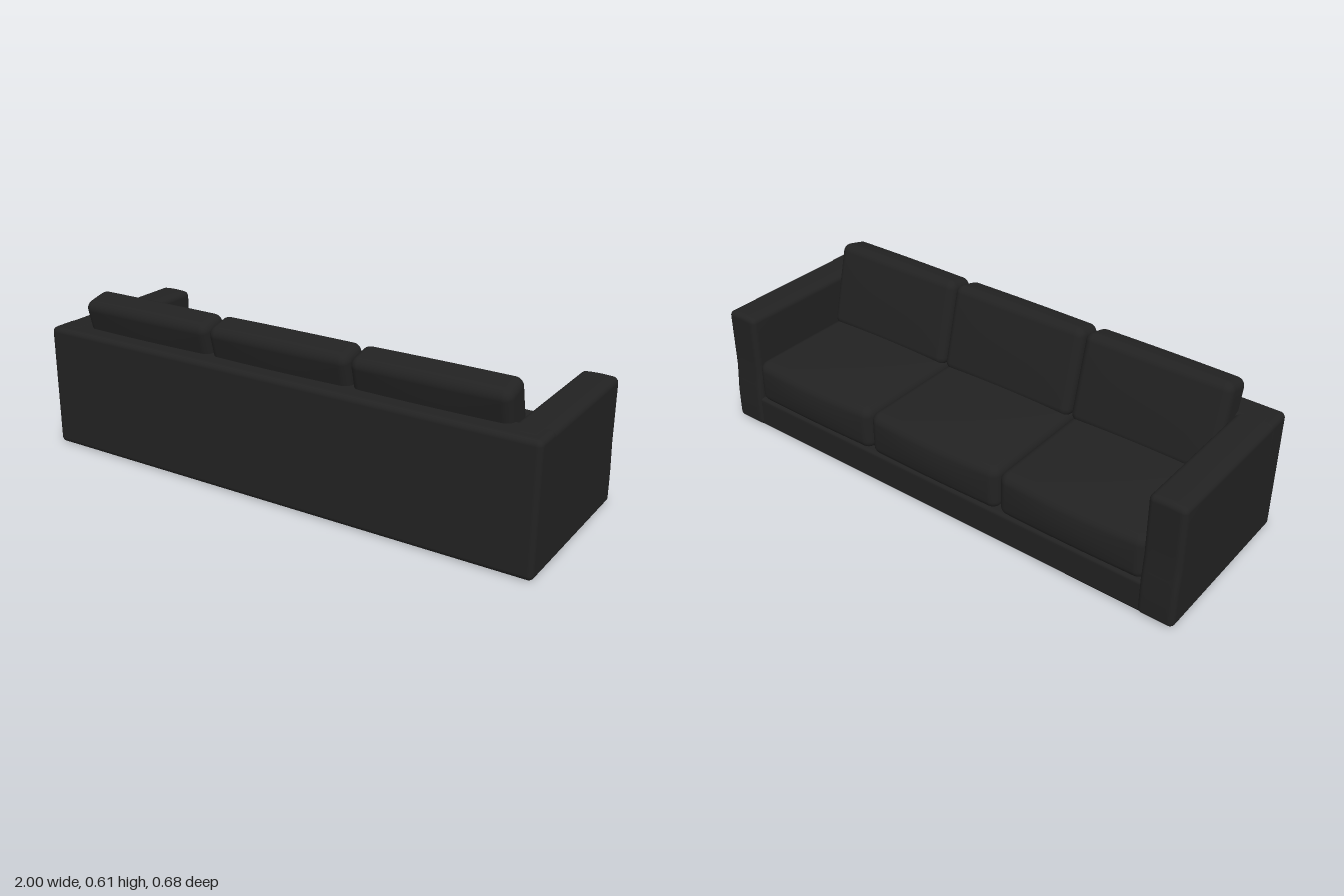
import * as THREE from 'three';
import { mergeVertices } from 'three/addons/utils/BufferGeometryUtils.js';

// Rounded, finely divided box; shape(p, u) may move each vertex (u runs -1..1)
function softBox(w, h, d, r, shape) {
  let geo = new THREE.BoxGeometry(2, 2, 2, 16, 16, 16);
  geo.deleteAttribute('uv');
  geo.deleteAttribute('normal');
  geo = mergeVertices(geo, 1e-4);
  const pos = geo.attributes.position;
  const half = new THREE.Vector3(w / 2, h / 2, d / 2);
  const inner = half.clone().subScalar(r);
  const u = new THREE.Vector3(), p = new THREE.Vector3(), core = new THREE.Vector3();
  for (let i = 0; i < pos.count; i++) {
    u.fromBufferAttribute(pos, i);
    // half of the divisions go to the rounded edges
    for (const a of ['x', 'y', 'z']) {
      const t = Math.abs(u[a]) * 2;
      p[a] = Math.sign(u[a]) * (t > 1 ? inner[a] + r * Math.tan((t - 1) * Math.PI / 4) : inner[a] * t);
    }
    core.copy(p).clamp(inner.clone().negate(), inner);
    p.sub(core).setLength(r).add(core);
    if (shape) shape(p, u.copy(p).divide(half));
    pos.setXYZ(i, p.x, p.y, p.z);
  }
  geo.computeVertexNormals();
  return geo;
}

const crown = (a, b) => Math.max(0, 1 - a * a) * Math.max(0, 1 - b * b);

export function createModel() {
  const sofa = new THREE.Group();
  sofa.name = 'sofa';
  const upholstery = new THREE.MeshStandardMaterial({ color: 0x222222 });
  upholstery.name = 'black upholstery';

  const add = (name, geo, x, y, z) => {
    const mesh = new THREE.Mesh(geo, upholstery);
    mesh.name = name;
    mesh.position.set(x, y, z);
    sofa.add(mesh);
    return mesh;
  };

  // Frame: base and back panel
  add('base', softBox(1.78, 0.125, 0.63, 0.012), 0, 0.0625, -0.015);
  add('backPanel', softBox(2, 0.475, 0.12, 0.02), 0, 0.2375, 0.28);

  // Arms, a little deeper at the foot and softly domed on top
  const arm = softBox(0.135, 0.472, 0.64, 0.02, (p, u) => {
    if (u.z < -0.5 && u.y < 0) p.z -= 0.01 * Math.min(1, -u.y * 2);
    if (u.y > 0.9) p.y += 0.004 * (1 - u.x * u.x);
  });
  for (const side of [-1, 1]) {
    add(side > 0 ? 'leftArm' : 'rightArm', arm, side * 0.9325, 0.236, -0.008);
  }

  // Seat cushions, bulging on top and along the front edge
  const seat = softBox(0.576, 0.175, 0.55, 0.035, (p, u) => {
    if (u.y > 0) p.y += 0.014 * crown(u.x, u.z) * u.y;
    if (u.z < 0) p.z += 0.016 * crown(u.x, u.y) * u.z;
  });
  // Leaning back cushions
  const back = softBox(0.574, 0.34, 0.125, 0.032, (p, u) => {
    p.z += 0.006 * crown(u.x, u.y) * u.z;
    if (u.y > 0) p.y += 0.003 * crown(u.x, u.z) * u.y;
  });
  for (let i = -1; i <= 1; i++) {
    add('seatCushion', seat, i * 0.582, 0.2025, -0.05);
    add('backCushion', back, i * 0.582, 0.43, 0.192).rotation.x = 0.245;
  }
  return sofa;
}
